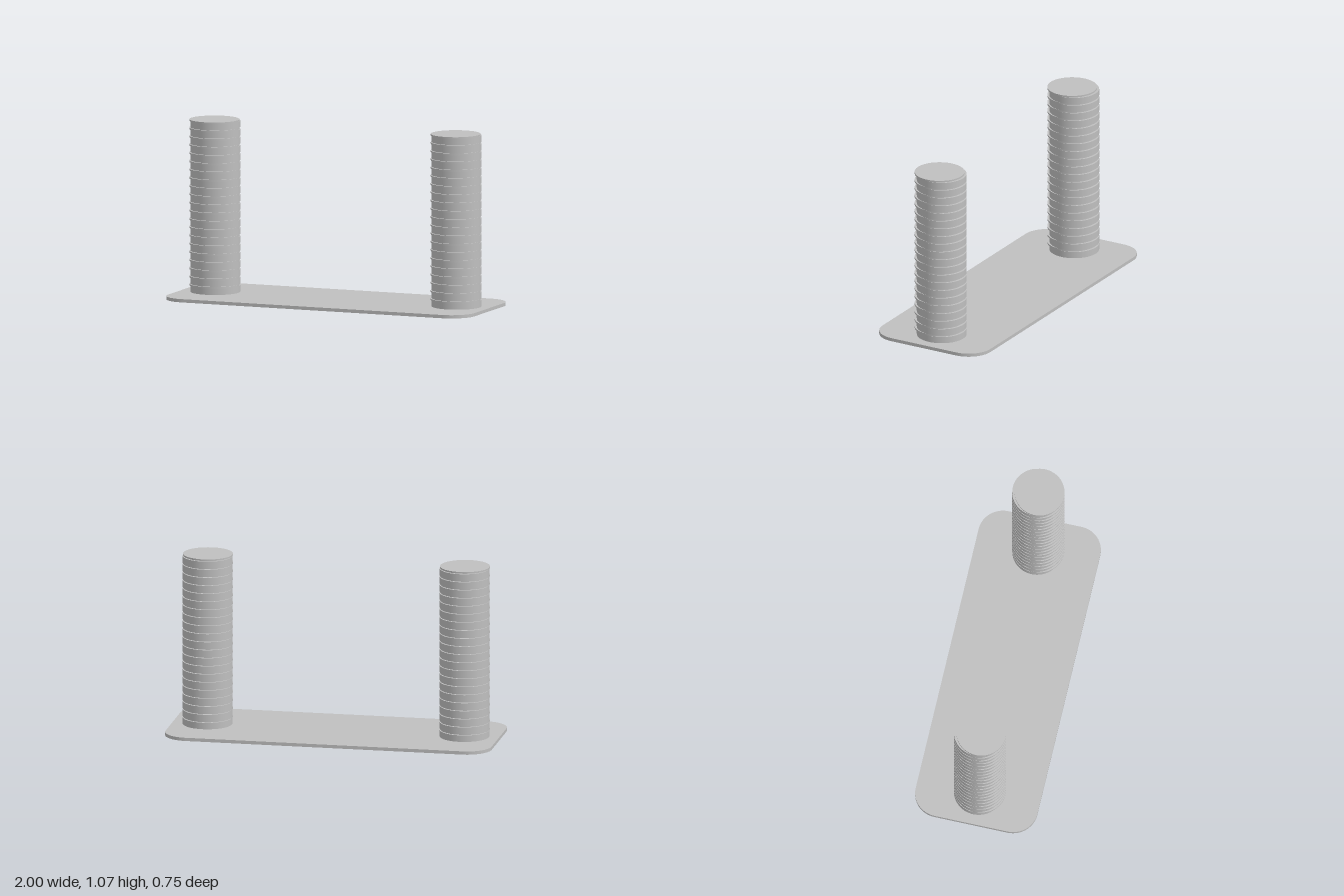
import * as THREE from 'three';

const PLATE_T = 0.02, RADIUS = 0.15, POST_X = 0.788;
const PITCH = 0.05, THIN = 0.01, LAYERS = 21, SHIFT = 0.015;

// Flat base plate with rounded corners
function createPlate(material) {
  const w = 1, d = 0.375, r = 0.15;
  const s = new THREE.Shape();
  s.absarc(w - r, d - r, r, 0, Math.PI / 2);
  s.absarc(r - w, d - r, r, Math.PI / 2, Math.PI);
  s.absarc(r - w, r - d, r, Math.PI, Math.PI * 1.5);
  s.absarc(w - r, r - d, r, Math.PI * 1.5, Math.PI * 2);
  s.closePath();
  const geometry = new THREE.ExtrudeGeometry(s, { depth: PLATE_T, bevelEnabled: false, curveSegments: 16 });
  geometry.rotateX(-Math.PI / 2);
  const plate = new THREE.Mesh(geometry, material);
  plate.name = 'basePlate';
  return plate;
}

// Post made of thick discs alternating with thin discs shifted forward
function createPost(material) {
  const post = new THREE.Group();
  const thickGeo = new THREE.CylinderGeometry(RADIUS, RADIUS, PITCH - THIN, 64);
  const thinGeo = new THREE.CylinderGeometry(RADIUS, RADIUS, THIN, 64);
  for (let i = 0; i < LAYERS; i++) {
    const y = PLATE_T + i * PITCH;
    const thick = new THREE.Mesh(thickGeo, material);
    thick.name = 'thickDisc';
    thick.position.y = y + (PITCH - THIN) / 2;
    const thin = new THREE.Mesh(thinGeo, material);
    thin.name = 'thinDisc';
    thin.position.set(0, y + PITCH - THIN / 2, SHIFT);
    post.add(thick, thin);
  }
  return post;
}

export function createModel() {
  const grey = new THREE.MeshStandardMaterial({ color: 0xbfbfbf });
  grey.name = 'grey';
  const model = new THREE.Group();
  model.name = 'twinPostStand';
  model.add(createPlate(grey));
  for (const side of [1, -1]) {
    const post = createPost(grey);
    post.name = side > 0 ? 'leftPost' : 'rightPost';
    post.position.x = side * POST_X;
    model.add(post);
  }
  return model;
}
